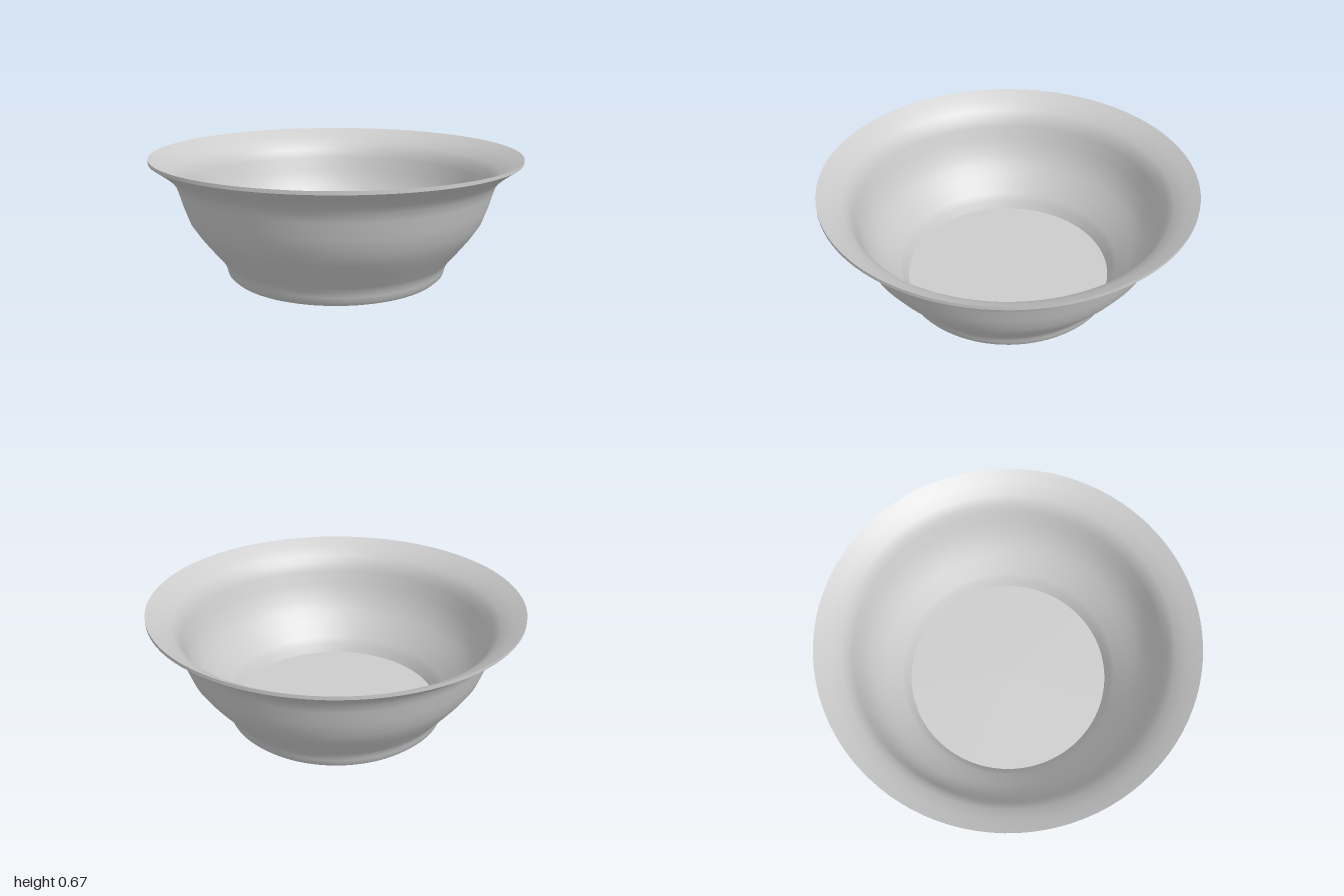
import * as THREE from 'three';

const SEGMENTS = 96;

export function createModel() {
  const bowl = new THREE.Group();
  bowl.name = 'bowl';
  const glaze = new THREE.MeshStandardMaterial({ color: 0xcccccc });
  glaze.name = 'light grey';

  // Each strip is smooth along its length; edges stay sharp between strips.
  const addStrip = (name, profile) => {
    const points = profile.map(([r, y]) => new THREE.Vector2(r, y));
    const mesh = new THREE.Mesh(new THREE.LatheGeometry(points, SEGMENTS), glaze);
    mesh.name = name;
    bowl.add(mesh);
  };

  // Underside
  addStrip('base', [[0, 0], [0.585, 0]]);

  // Foot, rounded body and flared lip, from bottom to top
  addStrip('outerWall', [
    [0.585, 0], [0.605, 0.02], [0.612, 0.05], [0.622, 0.08], [0.642, 0.11],
    [0.71, 0.195], [0.755, 0.255], [0.8, 0.325], [0.83, 0.41], [0.853, 0.49],
    [0.868, 0.535], [0.896, 0.57], [0.945, 0.61], [1, 0.65],
  ]);

  // Thin upright edge of the lip
  addStrip('rimEdge', [[1, 0.65], [1, 0.668]]);

  // Inside surface, from the lip down to the floor
  addStrip('innerWall', [
    [1, 0.668], [0.935, 0.628], [0.88, 0.585], [0.848, 0.545], [0.83, 0.495],
    [0.808, 0.42], [0.778, 0.335], [0.735, 0.267], [0.69, 0.207],
    [0.62, 0.12], [0.598, 0.085], [0.575, 0.035],
  ]);

  // Flat floor inside
  addStrip('floor', [[0.575, 0.035], [0, 0.035]]);

  return bowl;
}
